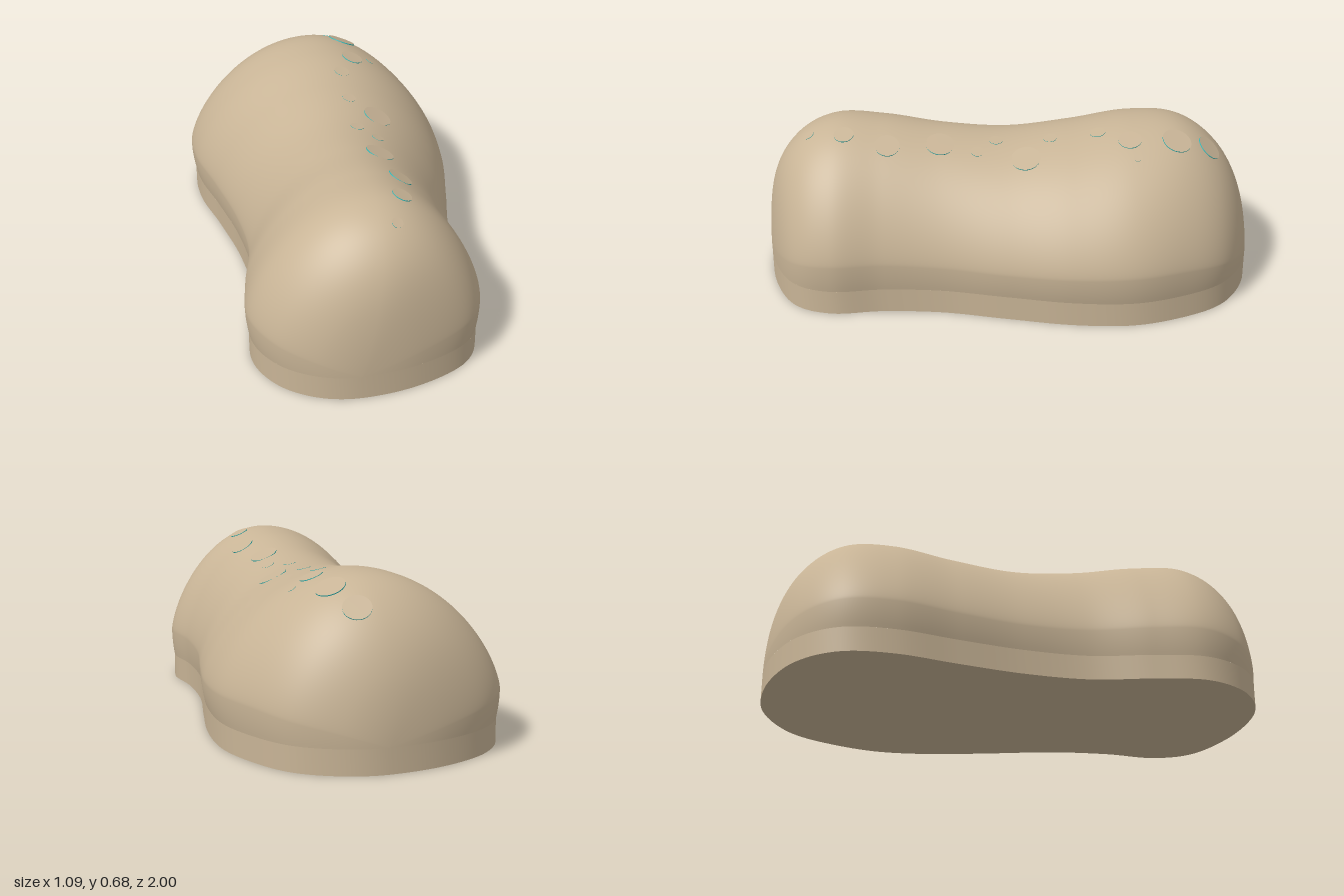
import * as THREE from 'three';
import { ParametricGeometry } from 'three/addons/geometries/ParametricGeometry.js';
import { toCreasedNormals } from 'three/addons/utils/BufferGeometryUtils.js';

const BASE = 0.1;    // height of the straight band
const INSET = 0.975; // band width relative to the widest part of the dome

// Left edge, right edge and ridge height, at even angles from back to front
const sections = new THREE.CatmullRomCurve3([
  [0.04, 0.04, 0.1], [-0.2, 0.21, 0.36], [-0.41, 0.37, 0.55], [-0.53, 0.47, 0.66],
  [-0.54, 0.535, 0.675], [-0.48, 0.53, 0.64], [-0.425, 0.48, 0.615], [-0.408, 0.425, 0.635],
  [-0.455, 0.412, 0.67], [-0.475, 0.43, 0.675], [-0.4, 0.355, 0.59], [-0.26, 0.15, 0.41],
  [-0.09, -0.09, 0.1],
].map((p) => new THREE.Vector3(...p)), false, 'catmullrom', 0.5);

function sectionAt(u) {
  const { x: left, y: right, z: height } = sections.getPoint(u);
  const mid = (left + right) / 2;
  const apex = mid + (0.01 - mid) * Math.min(1, (right - left) / 0.8);
  return { left, right, height, apex, z: -Math.cos(u * Math.PI) };
}

// Point on the dome: u runs back to front, v runs over the top from -x to +x
function domePoint(u, v, target) {
  const { left, right, height, apex, z } = sectionAt(u);
  const side = 2 * v - 1, s = Math.abs(side);
  const waist = BASE + (height - BASE) * 0.2;
  let w, y;
  if (s > 0.85) {
    const k = (s - 0.85) / 0.15;
    w = 1 - (1 - INSET) * k * k;
    y = waist - (waist - BASE) * k;
  } else {
    const a = (1 - s / 0.85) * Math.PI / 2;
    w = Math.cos(a);
    y = waist + (height - waist) * Math.pow(Math.sin(a), 1.4);
  }
  return target.set(apex + w * (side < 0 ? left - apex : right - apex), y, z);
}

// Surface position and normal above a given x, z
function surfaceAt(x, z) {
  const u = Math.acos(-z) / Math.PI, e = 0.002;
  const at = (a, b) => domePoint(a, b, new THREE.Vector3());
  let lo = 0.08, hi = 0.92;
  for (let i = 0; i < 30; i++) {
    const m = (lo + hi) / 2;
    if (at(u, m).x < x) lo = m; else hi = m;
  }
  const du = at(u + e, lo).sub(at(u - e, lo));
  const dv = at(u, lo + e).sub(at(u, lo - e));
  return { point: at(u, lo), normal: du.cross(dv).normalize() };
}

export function createModel() {
  const group = new THREE.Group();
  const tan = new THREE.MeshStandardMaterial({ color: 0xc8b496 });
  tan.name = 'tan';
  const teal = new THREE.MeshStandardMaterial({ color: 0x2bb8b8 });
  teal.name = 'teal';

  const add = (name, geometry, material) => {
    const mesh = new THREE.Mesh(geometry, material);
    mesh.name = name;
    group.add(mesh);
    return mesh;
  };

  // Domed body
  const dome = new ParametricGeometry(domePoint, 128, 96);
  dome.computeVertexNormals();
  add('dome', dome, tan);

  // Straight band with a flat underside
  const N = 96, rightSide = [], leftSide = [];
  for (let i = 0; i <= N; i++) {
    const { left, right, apex, z } = sectionAt(i / N);
    rightSide.push(new THREE.Vector2(apex + (right - apex) * INSET, -z));
    if (i > 0 && i < N) leftSide.push(new THREE.Vector2(apex + (left - apex) * INSET, -z));
  }
  const outline = new THREE.Shape([...rightSide, ...leftSide.reverse()]);
  const band = new THREE.ExtrudeGeometry(outline, { depth: BASE, bevelEnabled: false });
  band.rotateX(-Math.PI / 2);
  add('baseBand', toCreasedNormals(band, 0.6), tan);

  // Thin round spots along the ridge: x, z, radius
  const spots = [
    [0.1, -0.82, 0.055], [0.155, -0.68, 0.06], [0.165, -0.49, 0.047], [0.25, -0.515, 0.016],
    [0.095, -0.365, 0.032], [0.09, -0.175, 0.028], [0.19, -0.075, 0.06], [0.08, 0.045, 0.028],
    [0.15, 0.12, 0.026], [0.125, 0.27, 0.058], [0.16, 0.48, 0.05], [0.125, 0.655, 0.04],
    [0.075, 0.8, 0.022],
  ];
  const up = new THREE.Vector3(0, 1, 0);
  for (const [x, z, r] of spots) {
    const { point, normal } = surfaceAt(x, z);
    const spot = add('spot', new THREE.CylinderGeometry(r, r, 0.004, 32), [teal, tan, tan]);
    spot.position.copy(point).addScaledVector(normal, -0.001);
    spot.quaternion.setFromUnitVectors(up, normal);
  }
  return group;
}
